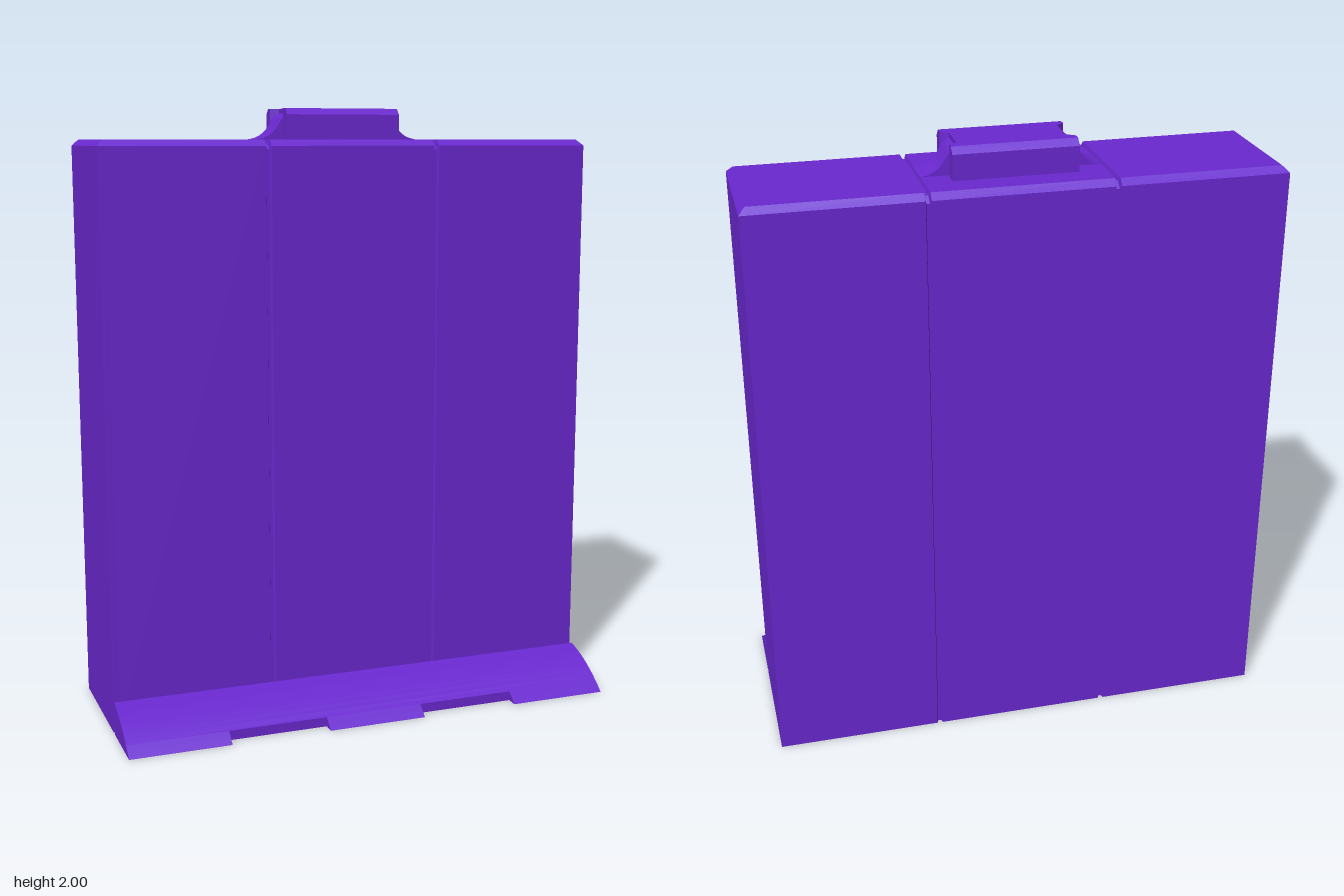
import * as THREE from 'three';
import { toCreasedNormals } from 'three/addons/utils/BufferGeometryUtils.js';

const W = 0.835, FRONT = 0.1, BACK = -0.33, TOP = 1.9, BEVEL = 0.02;
const MID_Z = (FRONT + BACK) / 2;

// Cross-section of the shell at x: front foot, over the bevelled top, back foot.
function shellSection(x, inset, bevel) {
  const f = FRONT - inset, b = BACK + inset, t = TOP - inset, s = TOP - BEVEL - inset;
  return bevel
    ? [[x, 0, f], [x, s, f], [x, t, f - BEVEL], [x, t, b + BEVEL], [x, s, b], [x, 0, b]]
    : [[x, 0, f], [x, s, f], [x, s, f], [x, s, b], [x, s, b], [x, 0, b]];
}

// Open-bottomed shell lofted along x, with two grooves running round it.
function shellGeometry() {
  const half = [[0.28, 0, true], [0.284, 0.012, true], [0.294, 0.012, true],
    [0.298, 0, true], [W - BEVEL, 0, true], [W, 0, false]];
  const sections = [
    ...half.slice().reverse().map(([x, d, b]) => shellSection(-x, d, b)),
    ...half.map(([x, d, b]) => shellSection(x, d, b)),
  ];
  const pos = [];
  const quad = (a, b, c, d) => pos.push(...a, ...b, ...c, ...a, ...c, ...d);
  for (let i = 0; i < sections.length - 1; i++) {
    const a = sections[i], b = sections[i + 1];
    for (let j = 0; j < 5; j++) quad(a[j], b[j], b[j + 1], a[j + 1]);
  }
  // End walls
  const l = sections[sections.length - 1], r = sections[0];
  quad(l[0], l[5], l[4], l[1]);
  quad(r[5], r[0], r[1], r[4]);
  const geo = new THREE.BufferGeometry();
  geo.setAttribute('position', new THREE.Float32BufferAttribute(pos, 3));
  geo.computeVertexNormals();
  return geo;
}

// Extrudes a (z, y) profile from x0 to x1.
function extrudeAlongX(points, x0, x1) {
  const geo = new THREE.ExtrudeGeometry(new THREE.Shape(points), { depth: x1 - x0, bevelEnabled: false });
  geo.rotateY(-Math.PI / 2).translate(x1, 0, 0);
  return toCreasedNormals(geo, 0.4);
}

// Grip block: plan with a recess in each end, top edges bevelled front and back.
function gripGeometry() {
  const corner = [[0.195, 0.1125], [0.195, 0.07], [0.17, 0.052]];
  const right = [...corner.map(([x, y]) => [x, -y]).concat(corner.slice().reverse())];
  const left = right.map(([x, y]) => [-x, -y]);
  const plan = new THREE.Shape([...right, ...left].map(p => new THREE.Vector2(...p)));
  const geo = new THREE.ExtrudeGeometry(plan, { depth: 0.1, steps: 2, bevelEnabled: false });
  geo.rotateX(-Math.PI / 2);
  const p = geo.attributes.position;
  for (let i = 0; i < p.count; i++) {
    const y = p.getY(i);
    if (y > 0.09) p.setZ(i, THREE.MathUtils.clamp(p.getZ(i), -0.0925, 0.0925));
    else if (y > 0.04) p.setY(i, 0.08);
  }
  geo.translate(0, TOP, MID_Z + 0.003);
  geo.computeVertexNormals();
  return geo;
}

// Concave fillet joining one end of the grip to the top.
function filletGeometry(side) {
  const curve = new THREE.CubicBezierCurve(
    new THREE.Vector2(0.17, 1.985), new THREE.Vector2(0.208, 1.975),
    new THREE.Vector2(0.2, 1.91), new THREE.Vector2(0.28, TOP));
  const shape = new THREE.Shape([new THREE.Vector2(0.17, TOP), ...curve.getPoints(10).reverse()]
    .map(v => new THREE.Vector2(v.x * side, v.y)));
  const geo = new THREE.ExtrudeGeometry(shape, { depth: 0.104, bevelEnabled: false });
  geo.translate(0, 0, MID_Z + 0.003 - 0.052);
  return toCreasedNormals(geo, 0.5);
}

export function createModel() {
  const model = new THREE.Group();
  const material = new THREE.MeshStandardMaterial({ color: 0x6a28d0, side: THREE.DoubleSide });
  const add = (name, geo, parent = model) => {
    const mesh = new THREE.Mesh(geo, material);
    mesh.name = name;
    parent.add(mesh);
  };

  add('shell', shellGeometry());

  // Handle on the top
  const handle = new THREE.Group();
  handle.name = 'handle';
  add('grip', gripGeometry(), handle);
  add('leftFillet', filletGeometry(1), handle);
  add('rightFillet', filletGeometry(-1), handle);
  model.add(handle);

  // Curved ramp along the front foot; its lip is cut by two notches
  const ramp = new THREE.Group();
  ramp.name = 'ramp';
  const slope = new THREE.QuadraticBezierCurve(
    new THREE.Vector2(0.33, 0), new THREE.Vector2(0.23, 0.085), new THREE.Vector2(0.117, 0.11)).getPoints(10);
  const notchZ = slope[2].x;
  const foot = z => new THREE.Vector2(z, 0);
  add('rampBody', extrudeAlongX([foot(0.117), foot(notchZ), ...slope.slice(2)], -W, W), ramp);
  for (const [name, x0, x1] of [['rightLip', -W, -0.5], ['middleLip', -0.167, 0.167], ['leftLip', 0.5, W]]) {
    add(name, extrudeAlongX([foot(notchZ), ...slope.slice(0, 3)], x0, x1), ramp);
  }
  model.add(ramp);

  return model;
}
